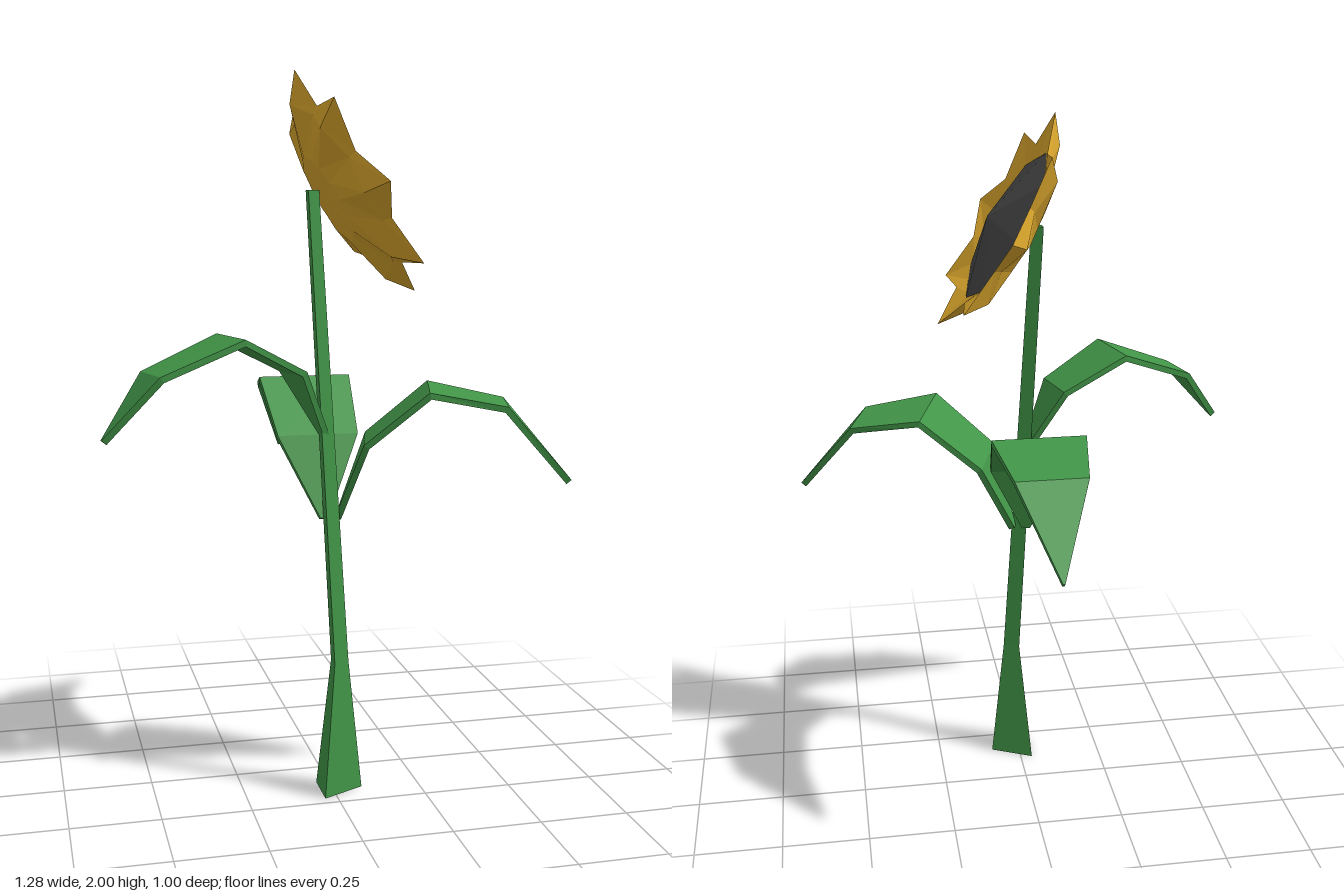
import * as THREE from 'three';

const V = (x, y, z) => new THREE.Vector3(x, y, z);
const green = new THREE.MeshStandardMaterial({ color: 0x429648, flatShading: true });
green.name = 'leaf green';
const yellow = new THREE.MeshStandardMaterial({ color: 0xdfaa2e, flatShading: true });
yellow.name = 'petal yellow';
const dark = new THREE.MeshStandardMaterial({ color: 0x484848, flatShading: true });
dark.name = 'seed grey';

// Closed skin over rings of equal point count, each anticlockwise seen from the far end
function loft(rings) {
  const n = rings[0].length;
  const index = [];
  for (let r = 0; r < rings.length - 1; r++) {
    for (let i = 0; i < n; i++) {
      const a = r * n + i, b = r * n + (i + 1) % n;
      index.push(a, b, b + n, a, b + n, a + n);
    }
  }
  const last = (rings.length - 1) * n;
  for (let i = 1; i < n - 1; i++) {
    index.push(0, i + 1, i, last, last + i, last + i + 1);
  }
  const geometry = new THREE.BufferGeometry().setFromPoints(rings.flat());
  geometry.setIndex(index);
  const flat = geometry.toNonIndexed();
  flat.computeVertexNormals();
  return flat;
}

function part(name, geometry, material) {
  const mesh = new THREE.Mesh(geometry, material);
  mesh.name = name;
  return mesh;
}

// Bent leaf blade; each section is [distance from the stem, height, half width]
function leaf(x, z, angle, sections) {
  const dx = Math.cos(angle), dz = Math.sin(angle), half = 0.009;
  const side = V(dz, 0, -dx);
  const rings = sections.map(([r, y, w], i) => {
    const p = sections[Math.max(i - 1, 0)];
    const q = sections[Math.min(i + 1, sections.length - 1)];
    const dr = q[0] - p[0], dy = q[1] - p[1];
    const up = V(-dy * dx, dr, -dy * dz).setLength(half);
    const c = V(x + dx * r, y, z + dz * r);
    return [[-w, -1], [w, -1], [w, 1], [-w, 1]].map(([s, u]) =>
      c.clone().addScaledVector(side, s).addScaledVector(up, u));
  });
  return loft(rings);
}

export function createModel() {
  const model = new THREE.Group();
  model.name = 'flower';

  // Three-sided leaning stem: [height, back x, front x, half depth]
  const stem = [[0, -0.035, 0.085, 0.058], [0.38, 0, 0.045, 0.023], [1.69, -0.073, -0.04, 0.017]];
  model.add(part('stem', loft(stem.map(([y, b, f, h]) =>
    [V(f, y, 0.163), V(b, y, 0.163 - h), V(b, y, 0.163 + h)])), green));

  // Two large leaves and a smaller, higher one
  const large = [[0, 0.79, 0.012], [0.08, 1.01, 0.115], [0.25, 1.152, 0.133], [0.455, 1.112, 0.1], [0.637, 0.898, 0.003]];
  const small = [[0, 1.02, 0.01], [0.1, 1.21, 0.075], [0.28, 1.303, 0.098], [0.5, 1.217, 0.074], [0.633, 1.057, 0.003]];
  model.add(part('leftLeaf', leaf(0.02, 0.137, 0.277, large), green));
  model.add(part('backLeaf', leaf(-0.02, 0.138, -Math.PI / 2, large), green));
  model.add(part('rightLeaf', leaf(-0.02, 0.16, Math.PI - 0.235, small), green));

  // Flower head, facing sideways and tilted up
  const head = new THREE.Group();
  head.name = 'head';
  head.position.set(0.03, 1.692, 0.163);
  head.rotation.set(-Math.PI / 6, Math.PI / 2, 0, 'YXZ');

  // Petal cup from back to front: [petal radius, petal depth, valley radius, valley depth]
  const cup = [
    [0.03, -0.061, 0.03, -0.061],
    [0.13, -0.055, 0.125, -0.053],
    [0.265, -0.02, 0.235, 0],
    [0.335, 0.036, 0.25, 0.02],
    [0.215, -0.003, 0.205, -0.003],
  ];
  head.add(part('petals', loft(cup.map(([pr, pz, vr, vz]) =>
    Array.from({ length: 16 }, (_, i) => {
      const a = i * Math.PI / 8, r = i % 2 ? vr : pr;
      return V(Math.cos(a) * r, Math.sin(a) * r, i % 2 ? vz : pz);
    }))), yellow));

  // Shallow eight-sided seed cone
  const seeds = new THREE.ConeGeometry(0.23, 0.06, 8, 1, true);
  seeds.rotateX(Math.PI / 2).translate(0, 0, 0.032);
  head.add(part('seedDisc', seeds, dark));
  model.add(head);

  return model;
}
